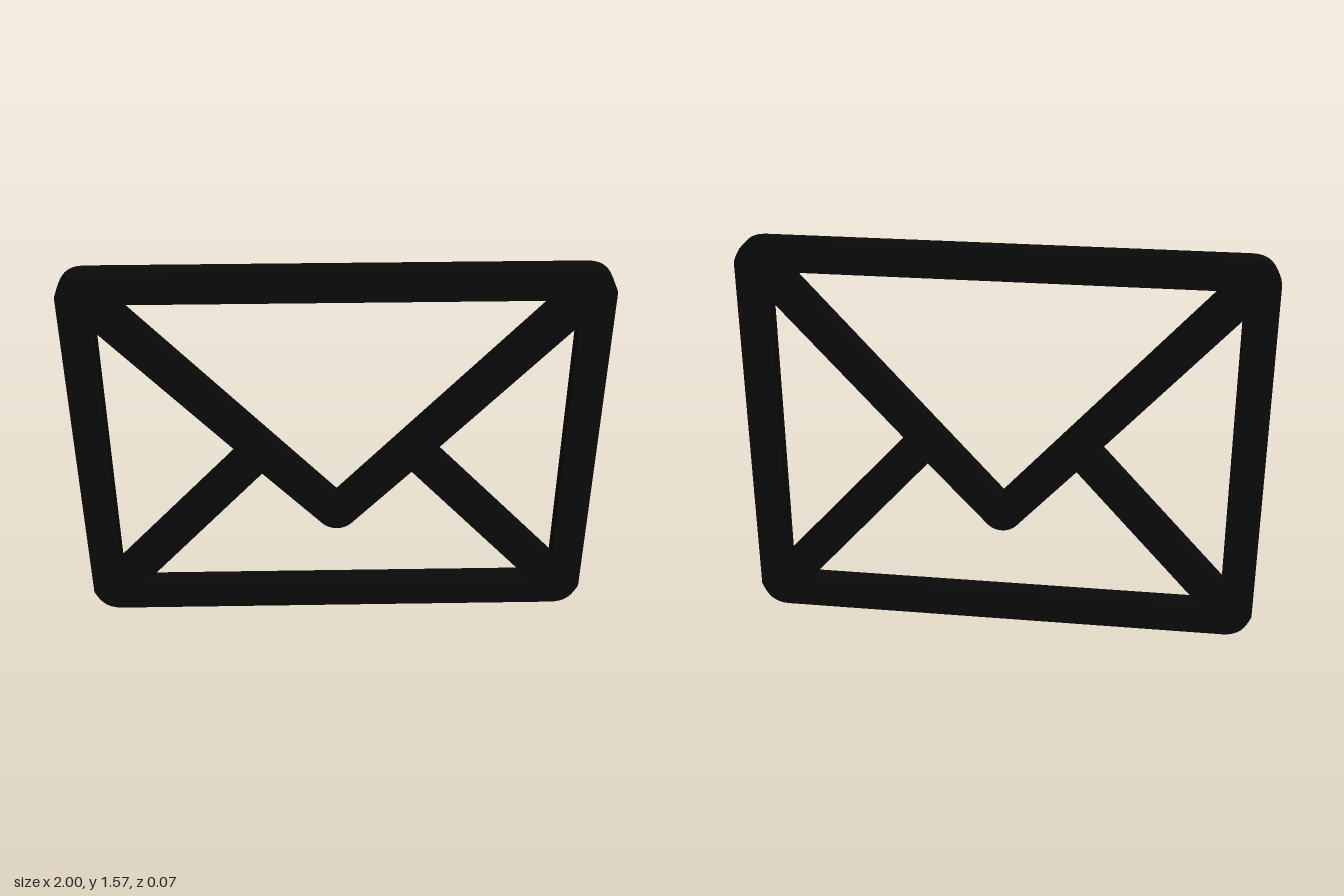
import * as THREE from 'three';

const W = 1, H = 1.57, DEPTH = 0.07;

const polygon = (points) => new THREE.Path(points.map(([x, y]) => new THREE.Vector2(x, y)));
const mirror = (points) => points.map(([x, y]) => [-x, y]);

// Outer outline with softened corners
function outline() {
  const cx = 0.11, cy = 0.09;
  const s = new THREE.Shape();
  s.moveTo(-W + cx, 0);
  s.lineTo(W - cx, 0);
  s.bezierCurveTo(W - 0.04, 0, W - 0.02, 0.04, W, cy);
  s.lineTo(W, H - cy);
  s.bezierCurveTo(W - 0.02, H - 0.04, W - 0.04, H, W - cx, H);
  s.lineTo(-W + cx, H);
  s.bezierCurveTo(-W + 0.04, H, -W + 0.02, H - 0.04, -W, H - cy);
  s.lineTo(-W, cy);
  s.bezierCurveTo(-W + 0.02, 0.04, -W + 0.04, 0, -W + cx, 0);
  return s;
}

// Opening below the flap, notched by the flap's rounded tip
function lowerOpening() {
  const p = new THREE.Path();
  p.moveTo(-0.79, 0.13);
  p.lineTo(-0.29, 0.69);
  p.lineTo(-0.055, 0.435);
  p.bezierCurveTo(-0.025, 0.405, 0.025, 0.405, 0.055, 0.435);
  p.lineTo(0.29, 0.69);
  p.lineTo(0.79, 0.13);
  p.closePath();
  return p;
}

export function createModel() {
  const group = new THREE.Group();
  group.name = 'envelope';

  const shape = outline();
  const side = [[-0.875, 0.235], [-0.875, 1.34], [-0.375, 0.787]];
  shape.holes.push(
    polygon([[-0.797, 1.447], [0.797, 1.447], [0, 0.562]]), // inside the flap
    polygon(side),
    polygon(mirror(side)),
    lowerOpening(),
  );

  // Frame, flap and lower folds are one flat plate
  const geometry = new THREE.ExtrudeGeometry(shape, { depth: DEPTH, bevelEnabled: false, curveSegments: 8 });
  geometry.translate(0, 0, -DEPTH / 2);
  const plate = new THREE.Mesh(geometry, new THREE.MeshStandardMaterial({ color: 0x0a0a0a }));
  plate.name = 'envelopeFrame';
  group.add(plate);
  return group;
}
